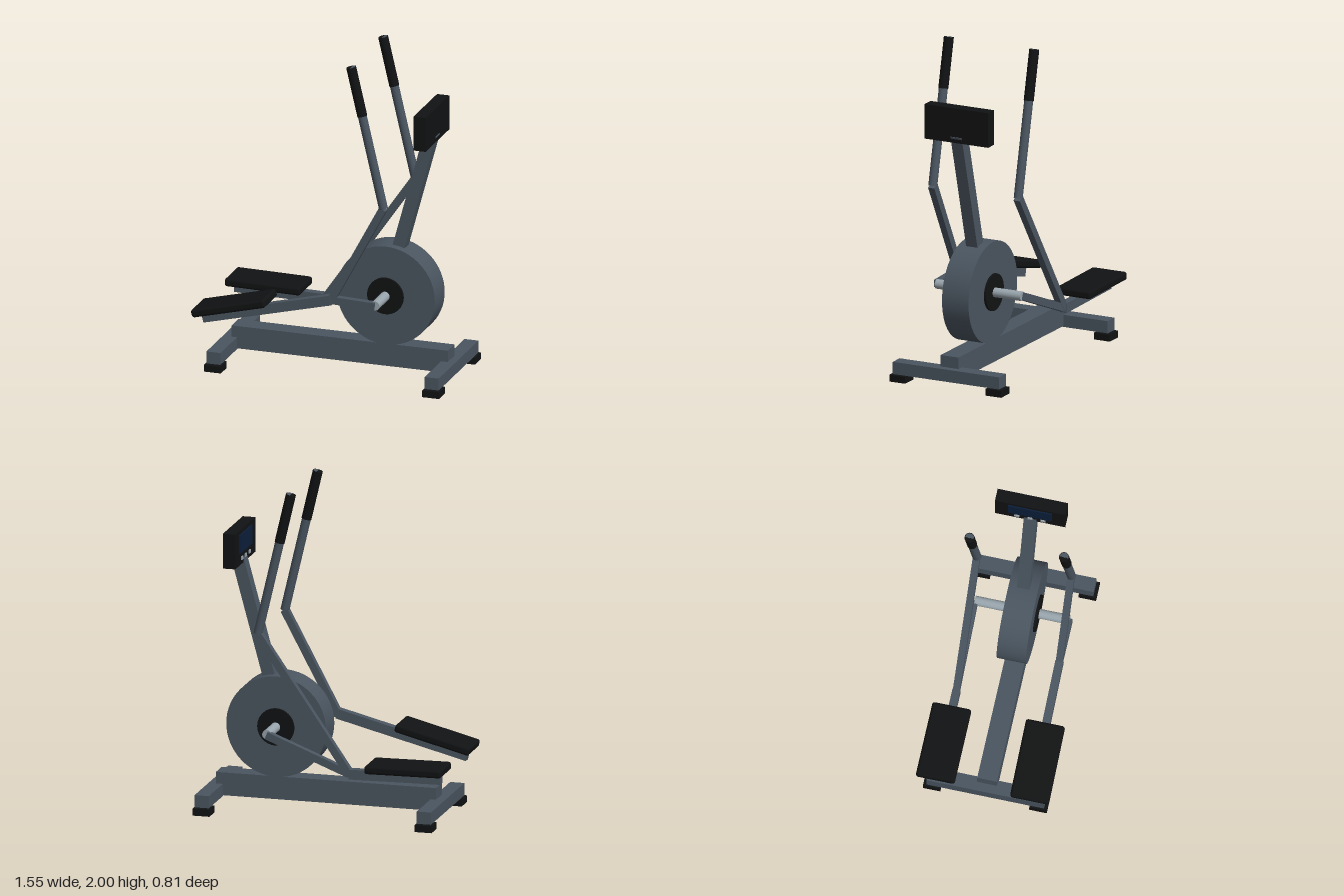
import * as THREE from 'three';
import { RoundedBoxGeometry } from 'three/addons/geometries/RoundedBoxGeometry.js';

const mat = (color) => new THREE.MeshStandardMaterial({ color });

export function createModel() {
  const model = new THREE.Group();
  model.name = 'ellipticalTrainer';
  const frame = mat(0x4a5560);
  const black = mat(0x111213);
  const steel = mat(0x98a4ac);
  const screenBlue = mat(0x0c1f3a);

  const add = (name, geometry, material, x, y, z, parent = model) => {
    const mesh = new THREE.Mesh(geometry, material);
    mesh.name = name;
    mesh.position.set(x, y, z);
    parent.add(mesh);
    return mesh;
  };
  const box = (name, material, w, h, d, x, y, z, parent) =>
    add(name, new THREE.BoxGeometry(w, h, d), material, x, y, z, parent);

  // Lays a geometry made along +y between two points [x, y] of a side plane
  const between = (name, makeGeometry, material, a, b, z, parent) => {
    const dx = b[0] - a[0], dy = b[1] - a[1];
    const mesh = add(name, makeGeometry(Math.hypot(dx, dy)), material,
      (a[0] + b[0]) / 2, (a[1] + b[1]) / 2, z, parent);
    mesh.rotation.z = Math.atan2(-dx, dy);
    return mesh;
  };
  const bar = (w, d) => (length) => new THREE.BoxGeometry(w, length, d);
  const tube = (r) => (length) => new THREE.CylinderGeometry(r, r, length, 24);
  const disc = (name, material, r, width) => {
    const mesh = add(name, new THREE.CylinderGeometry(r, r, width, 64), material, 0.342, 0.505, 0);
    mesh.rotation.x = Math.PI / 2;
  };

  // Base: long beam, two cross bars and four feet
  box('baseBeam', frame, 1.36, 0.14, 0.12, 0.042, 0.122, 0);
  for (const [name, x] of [['rear', -0.648], ['front', 0.724]]) {
    box(name + 'CrossBar', frame, 0.088, 0.075, 0.715, x, 0.084, 0);
    for (const side of [-1, 1]) {
      box(name + 'Foot', black, 0.106, 0.042, 0.106, x, 0.021, side * 0.323);
    }
  }

  // Flywheel, hub and axle
  disc('flywheel', frame, 0.308, 0.178);
  disc('hub', black, 0.113, 0.206);
  disc('axle', steel, 0.029, 0.575);

  // Console column
  between('column', bar(0.076, 0.076), frame, [0.365, 0.66], [0.602, 1.53], 0);

  // Console with screen and buttons facing the rider
  const console_ = new THREE.Group();
  console_.name = 'console';
  model.add(console_);
  box('consoleBody', black, 0.077, 0.213, 0.427, 0.597, 1.592, 0, console_);
  box('screen', screenBlue, 0.01, 0.115, 0.265, 0.556, 1.617, 0, console_);
  for (const z of [-0.08, 0, 0.08]) {
    box('button', steel, 0.01, 0.02, 0.03, 0.556, 1.523, z, console_);
  }

  // Moving linkage on each side: crank, pedal arm, pedal and handle
  const axle = [0.342, 0.505], elbow = [0.396, 1.125], top = [0.193, 1.992];
  const sides = [
    { name: 'near', z: 0.286, joint: [0.07, 0.515], tail: [-0.735, 0.312],
      pedal: [-0.544, 0.419], tilt: 0.249 },
    { name: 'far', z: -0.288, joint: [-0.17, 0.305], tail: [-0.735, 0.313],
      pedal: [-0.528, 0.366], tilt: -0.014 },
  ];
  for (const s of sides) {
    const linkage = new THREE.Group();
    linkage.name = s.name + 'Linkage';
    model.add(linkage);
    between('crank', bar(0.046, 0.04), frame, s.joint, axle, s.z, linkage);
    between('pedalArm', bar(0.06, 0.048), frame, s.tail, s.joint, s.z, linkage);
    between('lowerLever', bar(0.046, 0.042), frame, s.joint, elbow, s.z, linkage);
    between('handleTube', tube(0.027), frame, elbow, top, s.z, linkage);
    const gripStart = [0.263, 1.693];
    between('grip', tube(0.03), black, gripStart, top, s.z, linkage);
    const pedal = add('pedal', new RoundedBoxGeometry(0.475, 0.05, 0.236, 3, 0.016), black,
      s.pedal[0], s.pedal[1], s.z, linkage);
    pedal.rotation.z = s.tilt;
  }
  return model;
}
